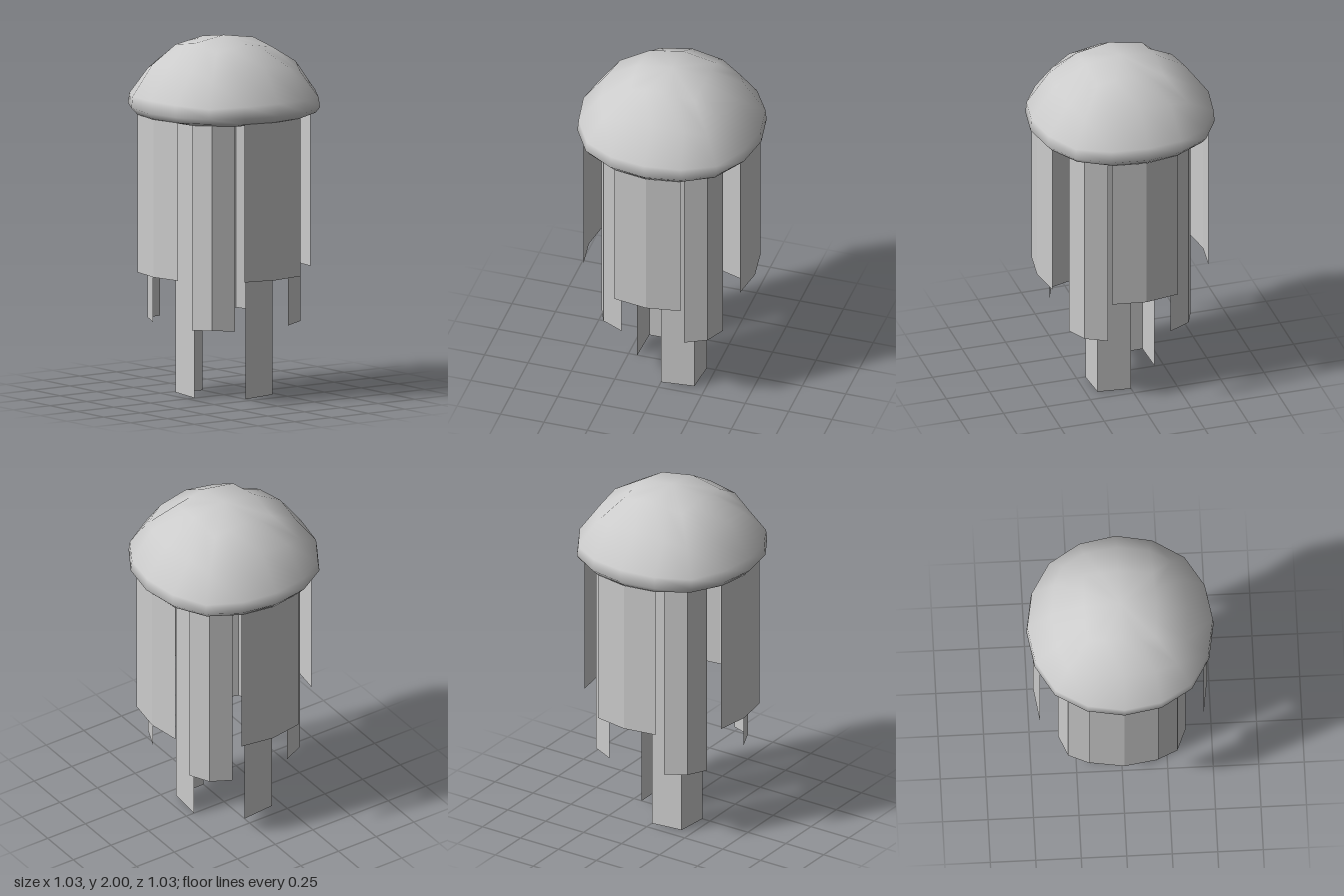
import * as THREE from 'three';

// Rounded-square ring of 16 points: a = axis point, (b, c) = side point, d = corner point
function ring(a, b, c, d, ya, yb, yd) {
  const pts = [];
  const quarter = [[a, ya, 0], [b, yb, c], [d, yd, d], [c, yb, b]];
  for (let q = 0; q < 4; q++) {
    for (const [x, y, z] of quarter) {
      let px = x, pz = z;
      for (let k = 0; k < q; k++) [px, pz] = [-pz, px];
      pts.push(px, y, pz);
    }
  }
  return pts;
}

// Smooth closed surface through the rings, from a top pole to a bottom pole
function loft(topY, rings, bottomY) {
  const n = 16;
  const pos = [0, topY, 0];
  rings.forEach((r) => pos.push(...r));
  pos.push(0, bottomY, 0);
  const last = pos.length / 3 - 1;
  const id = (i, j) => 1 + i * n + (j % n);
  const index = [];
  for (let j = 0; j < n; j++) {
    index.push(0, id(0, j + 1), id(0, j));
    for (let i = 0; i < rings.length - 1; i++) {
      index.push(id(i, j), id(i, j + 1), id(i + 1, j));
      index.push(id(i, j + 1), id(i + 1, j + 1), id(i + 1, j));
    }
    index.push(last, id(rings.length - 1, j), id(rings.length - 1, j + 1));
  }
  const g = new THREE.BufferGeometry();
  g.setAttribute('position', new THREE.Float32BufferAttribute(pos, 3));
  g.setIndex(index);
  g.computeVertexNormals();
  return g;
}

// Thin bent sheet hanging down from a path of [x, y, z] points
function hangingStrip(path, drop) {
  const pos = [];
  const index = [];
  path.forEach(([x, y, z], i) => {
    pos.push(x, y, z, x, y - drop, z);
    if (i > 0) {
      const k = (i - 1) * 2;
      index.push(k, k + 1, k + 2, k + 2, k + 1, k + 3);
    }
  });
  const g = new THREE.BufferGeometry();
  g.setAttribute('position', new THREE.Float32BufferAttribute(pos, 3));
  g.setIndex(index);
  const flat = g.toNonIndexed();
  flat.computeVertexNormals();
  return flat;
}

export function createModel() {
  const model = new THREE.Group();
  const smooth = new THREE.MeshStandardMaterial({ color: 0xcccccc });
  const sheet = new THREE.MeshStandardMaterial({
    color: 0xcccccc, flatShading: true, side: THREE.DoubleSide,
  });

  const add = (name, geometry, material, turn = 0) => {
    const mesh = new THREE.Mesh(geometry, material);
    mesh.name = name;
    mesh.rotation.y = turn;
    model.add(mesh);
  };

  // Bell: low-poly smooth cap, domed above and nearly flat below
  add('bell', loft(2, [
    ring(0.2, 0.195, 0.095, 0.19, 1.97, 1.955, 1.94),
    ring(0.375, 0.355, 0.18, 0.3, 1.865, 1.845, 1.805),
    ring(0.51, 0.475, 0.2, 0.372, 1.68, 1.675, 1.665),
    ring(0.515, 0.48, 0.205, 0.377, 1.61, 1.61, 1.61),
    ring(0.475, 0.45, 0.19, 0.36, 1.573, 1.575, 1.58),
    ring(0.37, 0.35, 0.18, 0.3, 1.548, 1.55, 1.558),
    ring(0.2, 0.195, 0.095, 0.19, 1.54, 1.543, 1.547),
  ], 1.537), smooth);

  // Four short outer and four longer corner tentacles
  const outer = hangingStrip([[-0.19, 1.575, 0.45], [0, 1.573, 0.478], [0.19, 1.575, 0.45]], 0.877);
  const corner = hangingStrip([[0.18, 1.55, 0.35], [0.3, 1.558, 0.3], [0.35, 1.55, 0.18]], 1.138);
  for (let i = 0; i < 4; i++) {
    add('outerTentacle', outer, sheet, i * Math.PI / 2);
    add('cornerTentacle', corner, sheet, i * Math.PI / 2);
  }

  // Two long inner tentacles on opposite corners
  const inner = hangingStrip([[-0.2, 1.54, 0], [-0.19, 1.547, 0.19], [0, 1.54, 0.2]], 1.54);
  for (let i = 0; i < 2; i++) add('innerTentacle', inner, sheet, i * Math.PI);

  return model;
}
